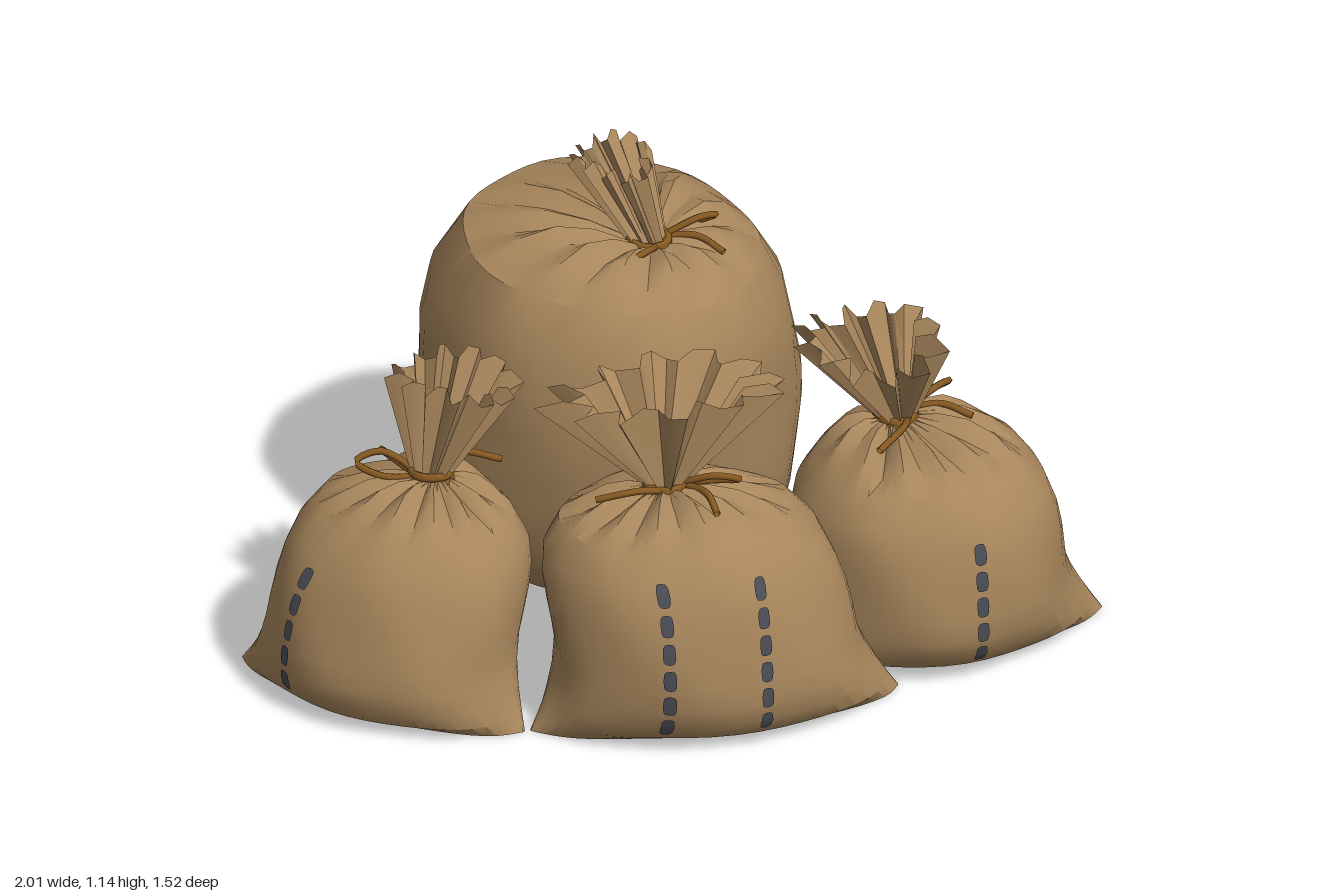
import * as THREE from 'three';
import { toCreasedNormals } from 'three/addons/utils/BufferGeometryUtils.js';

const N = 48; // columns around each sack, four to a fold
const NECK = 0.038; // neck radius
const { lerp } = THREE.MathUtils;
const V = (x, y, z) => new THREE.Vector3(x, y, z);

function seeded(seed) {
  let s = seed;
  return () => (s = (s * 16807) % 2147483647) / 2147483647;
}

// Boxy barrel profile: full at 40% of the height, drawn in at both ends
function swell(s) {
  const [a, n] = s < 0.4 ? [((0.4 - s) / 0.4) * 0.95, 2.6] : [((s - 0.4) / 0.6) * 0.85, 3.4];
  return (1 - a ** n) ** (1 / n);
}

// Rows from the floor up over the shoulder and in to the tied neck
function bodyRows({ base, top, half, shoulder, bulge, neck, seam }) {
  const rows = [];
  const steps = 9;
  for (let j = 0; j <= steps; j++) {
    const s = (j / steps) ** 1.2;
    const low = Math.max(0, (0.4 - s) / 0.4);
    // a seamed sack flares into two pointed corners at the floor
    const wide = seam && low > 0 ? 1 + 0.25 * low ** 1.5 : swell(s);
    rows.push({
      centre: V(lerp(base[0], top[0], s), lerp(0.01, shoulder, s), lerp(base[1], top[1], s)),
      w: half[0] * wide, d: half[1] * swell(s), power: seam ? 0.88 + 0.5 * low : 1, pleat: 0, jag: 0,
    });
  }
  const rim = rows[steps];
  for (let j = 1; j <= 4; j++) {
    const g = j / 4, hump = Math.sin(Math.PI * g);
    const centre = rim.centre.clone().lerp(V(...neck), g);
    centre.y += bulge * hump;
    rows.push({ centre, w: lerp(rim.w, NECK, g), d: lerp(rim.d, NECK, g), power: 1, pleat: 0.2 * g * g, jag: 0.02 * hump });
  }
  return rows;
}

// Rows of the loose cloth fanning out above the neck
function mouthRows({ neck, mouth, mouthHalf }) {
  return [0, 0.25, 0.6, 1].map((g) => ({
    centre: V(...neck).lerp(V(...mouth), g),
    w: lerp(NECK, mouthHalf[0], g), d: lerp(NECK, mouthHalf[1], g), power: 1, pleat: 0.3, jag: 0.022 * g,
  }));
}

function loft(rows, { yaw, seed, tilt = 0 }) {
  const rnd = seeded(seed * 7919);
  const pleats = Array.from({ length: N }, (_, i) => Math.cos((i * Math.PI) / 2) * (0.4 + 0.6 * rnd()) + 0.4 * (rnd() - 0.5));
  const ca = Math.cos(yaw), sa = Math.sin(yaw);
  const pos = [], idx = [];
  for (const { centre, w, d, power, pleat, jag } of rows) {
    const y = centre.y;
    for (let i = 0; i < N; i++) {
      const t = (i / N) * Math.PI * 2, c = Math.cos(t), s = Math.sin(t);
      // gentle crumples on the body, sharp folds near the neck
      const crumple = pleat ? 0 : 0.014 * Math.sin(3 * t + 9 * y + seed) + 0.012 * Math.sin(7 * t - 13 * y + 2 * seed);
      const k = 1 + crumple + pleat * pleats[i];
      const u = w * c * k, v = d * Math.sign(s) * Math.abs(s) ** power * k;
      const x = u * ca - v * sa, z = u * sa + v * ca;
      const lift = -tilt * (x + z) * Math.max(0, 2 * y - 0.8);
      const fold = jag * (pleats[(i + 1) % N] + 0.6 * Math.sin(2 * t + seed));
      pos.push(centre.x + x, y + lift + fold, centre.z + z);
    }
  }
  for (let j = 0; j < rows.length - 1; j++) {
    for (let i = 0; i < N; i++) {
      const a = j * N + i, b = j * N + ((i + 1) % N);
      idx.push(a, a + N, b, b, a + N, b + N);
    }
  }
  // close the lowest row
  const m = pos.length / 3;
  pos.push(...rows[0].centre.toArray());
  for (let i = 0; i < N; i++) idx.push(m, i, (i + 1) % N);
  const g = new THREE.BufferGeometry();
  g.setAttribute('position', new THREE.Float32BufferAttribute(pos, 3));
  g.setIndex(idx);
  return toCreasedNormals(g, 0.55);
}

// Cord wound round the neck, with a bow loop and two loose ends
function makeTie(neck, angle, mat) {
  const tie = new THREE.Group();
  tie.name = 'tie';
  for (const side of [-1, 1]) {
    const ring = new THREE.Mesh(new THREE.TorusGeometry(NECK + 0.008, 0.011, 5, 18), mat);
    ring.rotation.x = Math.PI / 2 + side * 0.15;
    ring.position.y = side * 0.008;
    ring.name = 'neckCord';
    tie.add(ring);
  }
  const addCord = (points, closed, name) => {
    const curve = new THREE.CatmullRomCurve3(points, closed);
    const strand = new THREE.Mesh(new THREE.TubeGeometry(curve, 20, 0.009, 5, closed), mat);
    strand.name = name;
    tie.add(strand);
  };
  addCord([V(NECK, 0, 0), V(0.12, 0.04, 0.03), V(0.18, 0.02, 0.01), V(0.11, 0, -0.02)], true, 'bowLoop');
  addCord([V(NECK, 0, 0), V(0.1, 0.01, 0.06), V(0.13, -0.01, 0.13)], false, 'cordEnd');
  addCord([V(0, 0, NECK), V(-0.06, 0.02, 0.08), V(-0.16, 0, 0.09)], false, 'cordEnd');
  tie.rotation.y = angle;
  tie.position.set(...neck);
  return tie;
}

// Column of thin rounded dashes laid on the side of a sack that faces the given angle
function addStitches(group, body, [facing, across, top, count], mat) {
  const right = V(Math.cos(facing), 0, -Math.sin(facing));
  const out = V(Math.sin(facing), 0, Math.cos(facing));
  const ray = new THREE.Raycaster();
  const onSkin = (u, y) => {
    ray.set(right.clone().multiplyScalar(u).addScaledVector(out, 5).setY(y), out.clone().negate());
    return ray.intersectObject(body, false)[0].point.addScaledVector(out, 0.007).toArray();
  };
  const bottom = 0.06, step = (top - bottom) / count, sides = 12;
  const squared = (v) => Math.sign(v) * Math.abs(v) ** 0.6;
  for (let k = 0; k < count; k++) {
    const cy = bottom + (k + 0.5) * step;
    const pos = onSkin(across, cy), idx = [];
    for (let i = 0; i < sides; i++) {
      const a = (i / sides) * Math.PI * 2;
      pos.push(...onSkin(across + 0.015 * squared(Math.cos(a)), cy + step * 0.39 * squared(Math.sin(a))));
      idx.push(0, i + 1, ((i + 1) % sides) + 1);
    }
    const g = new THREE.BufferGeometry();
    g.setAttribute('position', new THREE.Float32BufferAttribute(pos, 3));
    g.setIndex(idx);
    g.computeVertexNormals();
    const dash = new THREE.Mesh(g, mat);
    dash.name = 'stitch';
    group.add(dash);
  }
}

// base and top are [x, z] centres; neck and mouth are points
const largeBackSack = {
  seed: 3, yaw: 0, tilt: 0.07, base: [-0.01, -0.33], top: [-0.02, -0.21], half: [0.455, 0.46], shoulder: 0.91, bulge: 0.045,
  neck: [0.03, 0.95, -0.1], mouth: [-0.02, 1.12, -0.22], mouthHalf: [0.085, 0.1], tieAngle: 0.2,
};
const frontSack = {
  seed: 5, yaw: 0.1, seam: true, base: [-0.02, 0.51], top: [-0.09, 0.43], half: [0.36, 0.28], shoulder: 0.51, bulge: 0.02,
  neck: [-0.12, 0.59, 0.42], mouth: [-0.09, 0.81, 0.36], mouthHalf: [0.25, 0.14], tieAngle: -0.4,
  stitches: [[0, -0.22, 0.47, 6], [0, 0.015, 0.46, 6]],
};
const leftSack = {
  seed: 8, yaw: 0.06, seam: true, base: [0.6, 0.34], top: [0.565, 0.3], half: [0.32, 0.305], shoulder: 0.48, bulge: 0.02,
  neck: [0.52, 0.57, 0.26], mouth: [0.47, 0.76, 0.22], mouthHalf: [0.15, 0.17], tieAngle: 0.5,
  stitches: [[0, 0.605, 0.39, 5]],
};
const rightSack = {
  seed: 11, yaw: 0.86, seam: true, base: [-0.74, 0.18], top: [-0.64, 0.11], half: [0.305, 0.26], shoulder: 0.47, bulge: 0.02,
  neck: [-0.6, 0.55, 0.12], mouth: [-0.53, 0.78, 0.08], mouthHalf: [0.14, 0.11], tieAngle: 2.7,
  stitches: [[-Math.PI / 2, 0.17, 0.39, 5]],
};

function makeMaterial(name, color) {
  const mat = new THREE.MeshStandardMaterial({ color, side: THREE.DoubleSide });
  mat.name = name;
  return mat;
}

export function createModel() {
  const burlap = makeMaterial('burlap', 0xa8865c);
  const cord = makeMaterial('cord', 0x8a5c22);
  const thread = makeMaterial('darkThread', 0x4b4d55);
  const model = new THREE.Group();
  model.name = 'sackPile';
  for (const [name, def] of Object.entries({ largeBackSack, frontSack, leftSack, rightSack })) {
    const sack = new THREE.Group();
    sack.name = name;
    const body = new THREE.Mesh(loft(bodyRows(def), def), burlap);
    body.name = 'sackBody';
    const mouth = new THREE.Mesh(loft(mouthRows(def), { ...def, tilt: 0 }), burlap);
    mouth.name = 'gatheredMouth';
    sack.add(body, mouth, makeTie(def.neck, def.tieAngle, cord));
    for (const column of def.stitches ?? []) addStitches(sack, body, column, thread);
    model.add(sack);
  }
  return model;
}
